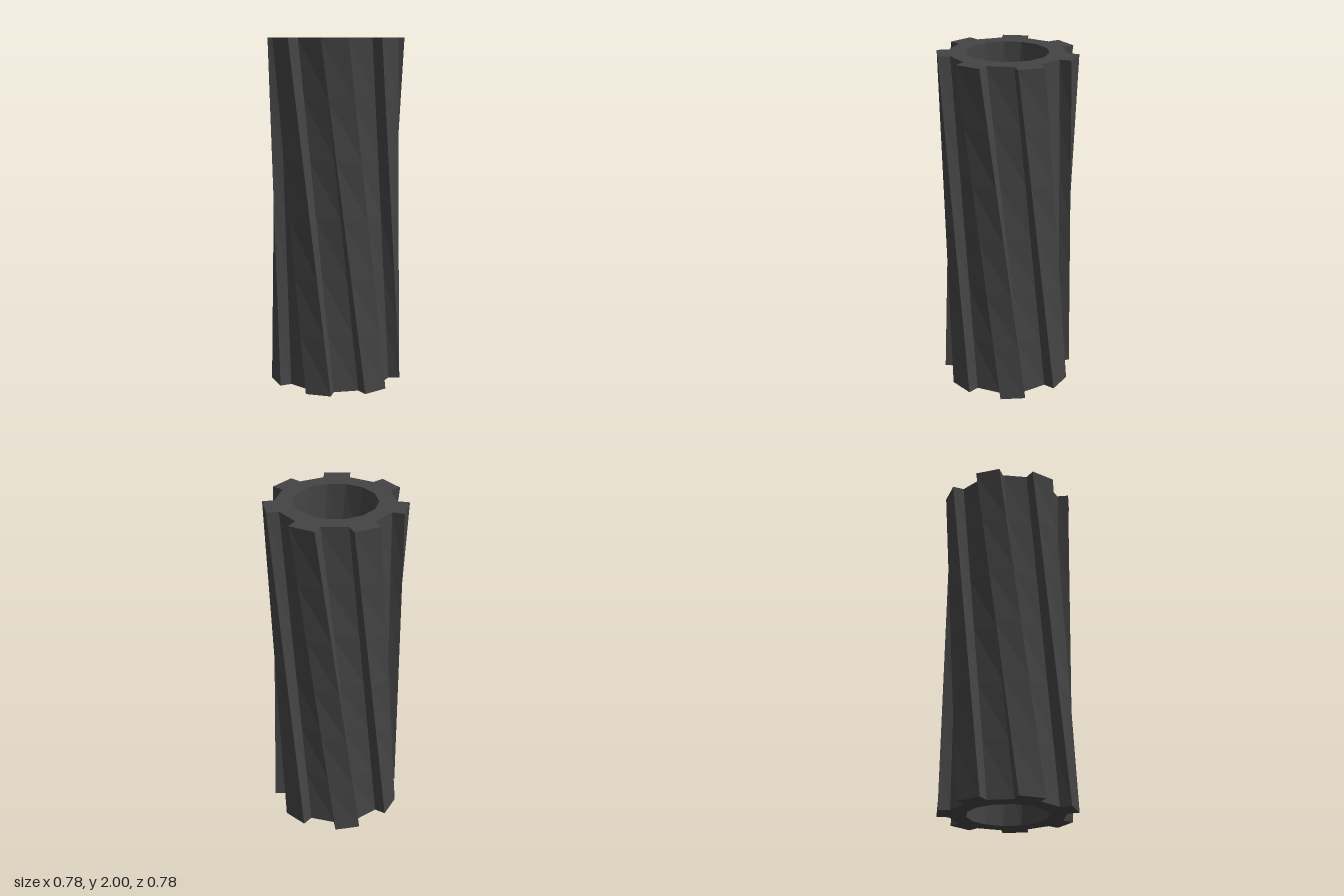
import * as THREE from 'three';

const SECTORS = 14, LAYERS = 6, HEIGHT = 2;
const TWIST = 37.3, TOP_ANGLE = -1.4; // degrees, clockwise seen from above
const BORE = 0.229, WALL = 0.325, RIDGE = 0.391;
const HALF = 180 / SECTORS, RIDGE_HALF = 10.9;

const material = new THREE.MeshStandardMaterial({ color: 0x444444, flatShading: true });

// Each edge runs straight from its bottom point to its turned top point,
// which gives the tube its slight waist.
function point(radius, degrees, level) {
  const at = (deg, y) => {
    const a = THREE.MathUtils.degToRad(deg);
    return new THREE.Vector3(radius * Math.sin(a), y, -radius * Math.cos(a));
  };
  const top = TOP_ANGLE + degrees;
  return at(top - TWIST, 0).lerp(at(top, HEIGHT), level / LAYERS);
}

function meshFromQuads(name, quads) {
  const points = quads.flatMap(([a, b, c, d]) => [a, b, c, a, c, d]);
  const geometry = new THREE.BufferGeometry().setFromPoints(points);
  geometry.computeVertexNormals();
  const mesh = new THREE.Mesh(geometry, material);
  mesh.name = name;
  return mesh;
}

// Upright band between neighbouring points of a closed profile
function wall(name, profile, inward) {
  const quads = [];
  profile.forEach(([r0, a0], i) => {
    const [r1, a1] = profile[(i + 1) % profile.length];
    for (let k = 0; k < LAYERS; k++) {
      const quad = [point(r0, a0, k), point(r0, a0, k + 1), point(r1, a1, k + 1), point(r1, a1, k)];
      quads.push(inward ? quad.reverse() : quad);
    }
  });
  return meshFromQuads(name, quads);
}

// Flat end: a ring of wall blocks plus the end of every second, ridged block
function rim(name, level) {
  const quads = [];
  const add = (r0, h0, r1, h1, mid) => {
    const quad = [point(r0, mid - h0, level), point(r0, mid + h0, level),
      point(r1, mid + h1, level), point(r1, mid - h1, level)];
    quads.push(level === 0 ? quad.reverse() : quad);
  };
  for (let i = 0; i < SECTORS; i++) {
    const mid = i * 2 * HALF;
    add(BORE, HALF, WALL, HALF, mid);
    if (i % 2 === 0) add(WALL, HALF, RIDGE, RIDGE_HALF, mid);
  }
  return meshFromQuads(name, quads);
}

export function createModel() {
  const outer = [], inner = [];
  for (let i = 0; i < SECTORS; i++) {
    const mid = i * 2 * HALF;
    inner.push([BORE, mid - HALF]);
    outer.push([WALL, mid - HALF]);
    if (i % 2 === 0) outer.push([RIDGE, mid - RIDGE_HALF], [RIDGE, mid + RIDGE_HALF]);
  }

  const group = new THREE.Group();
  group.name = 'twistedRidgedTube';
  group.add(
    wall('ridgedOuterWall', outer, false),
    wall('bore', inner, true),
    rim('topRim', LAYERS),
    rim('bottomRim', 0),
  );
  return group;
}
